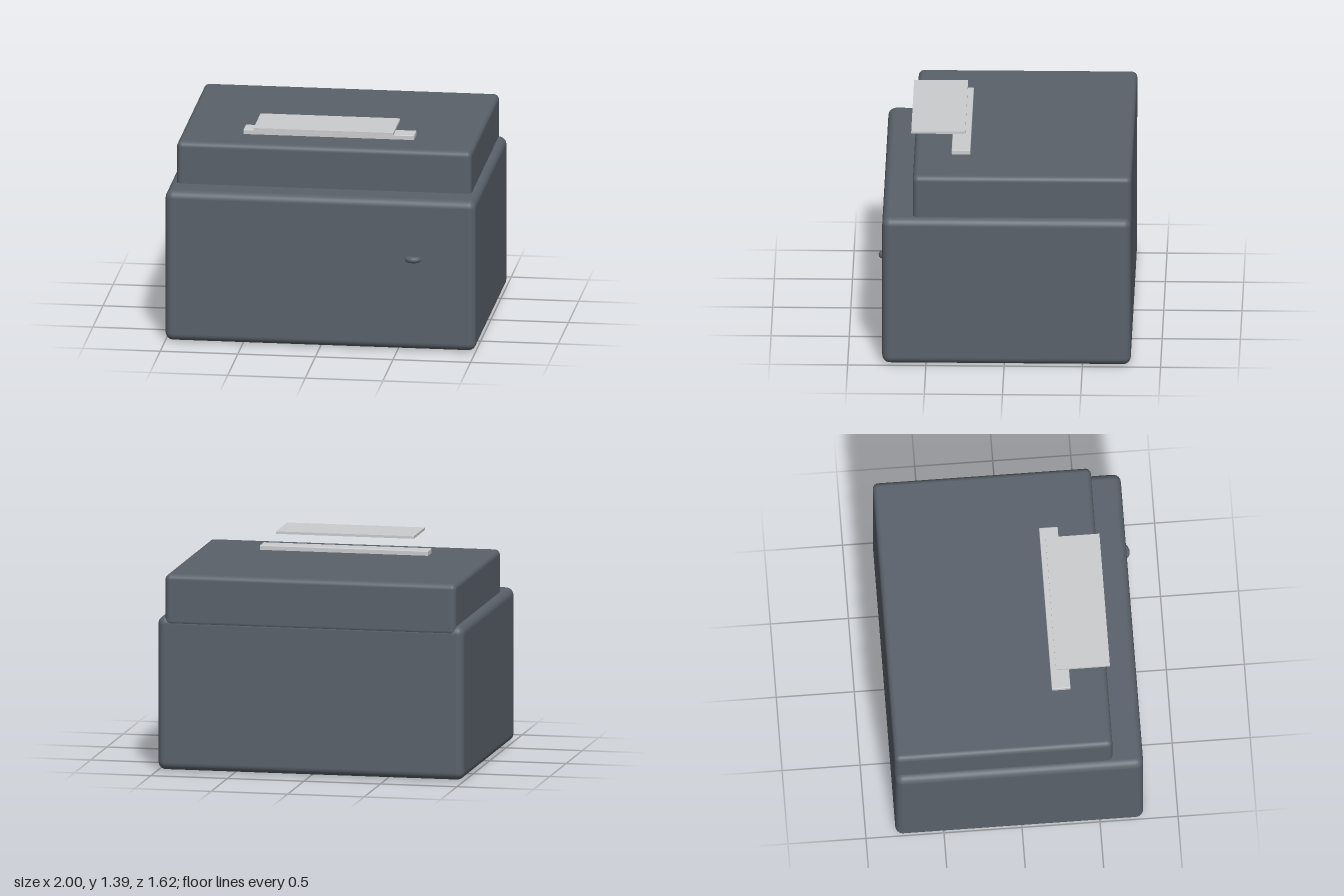
import * as THREE from 'three';
import { RoundedBoxGeometry } from 'three/addons/geometries/RoundedBoxGeometry.js';

const material = (name, color) => {
  const m = new THREE.MeshStandardMaterial({ color });
  m.name = name;
  return m;
};

export function createModel() {
  const model = new THREE.Group();
  const slate = material('slate plastic', 0x59616a);
  const dark = material('dark rubber', 0x33373b);
  const paper = material('light grey', 0xcbccce);

  const add = (name, geometry, mat, x, y, z) => {
    const mesh = new THREE.Mesh(geometry, mat);
    mesh.name = name;
    mesh.position.set(x, y, z);
    model.add(mesh);
    return mesh;
  };
  // Box given by its min and max corners; a radius rounds its edges
  const box = (name, mat, [x0, y0, z0], [x1, y1, z1], radius = 0) => {
    const size = [x1 - x0, y1 - y0, z1 - z0];
    const geometry = radius
      ? new RoundedBoxGeometry(...size, 5, radius)
      : new THREE.BoxGeometry(...size);
    return add(name, geometry, mat, (x0 + x1) / 2, (y0 + y1) / 2, (z0 + z1) / 2);
  };

  // Rounded body and the lid set flush with its back
  box('body', slate, [-1, 0.005, -0.809], [1, 1, 0.78], 0.05);
  box('lid', slate, [-0.95, 0.94, -0.812], [0.95, 1.275, 0.585], 0.035);

  // Outlet bar and the sheet above it
  box('outletBar', paper, [-0.55, 1.265, 0.225], [0.55, 1.305, 0.345], 0.005);
  box('sheet', paper, [-0.45, 1.376, 0.26], [0.45, 1.392, 0.605]);

  // Round-edged button disc, half sunk into the front
  const profile = [new THREE.Vector2(0, -0.02)];
  for (let i = 0; i <= 10; i++) {
    const a = -Math.PI / 2 + (i / 10) * Math.PI;
    profile.push(new THREE.Vector2(0.04 + 0.02 * Math.cos(a), 0.02 * Math.sin(a)));
  }
  profile.push(new THREE.Vector2(0, 0.02));
  add('button', new THREE.LatheGeometry(profile, 32), slate, 0.6, 0.605, 0.75);

  // Four low feet
  for (const x of [-0.83, 0.83]) {
    for (const z of [-0.58, 0.55]) {
      add('foot', new THREE.CylinderGeometry(0.045, 0.045, 0.02, 24), dark, x, 0.01, z);
    }
  }
  return model;
}
